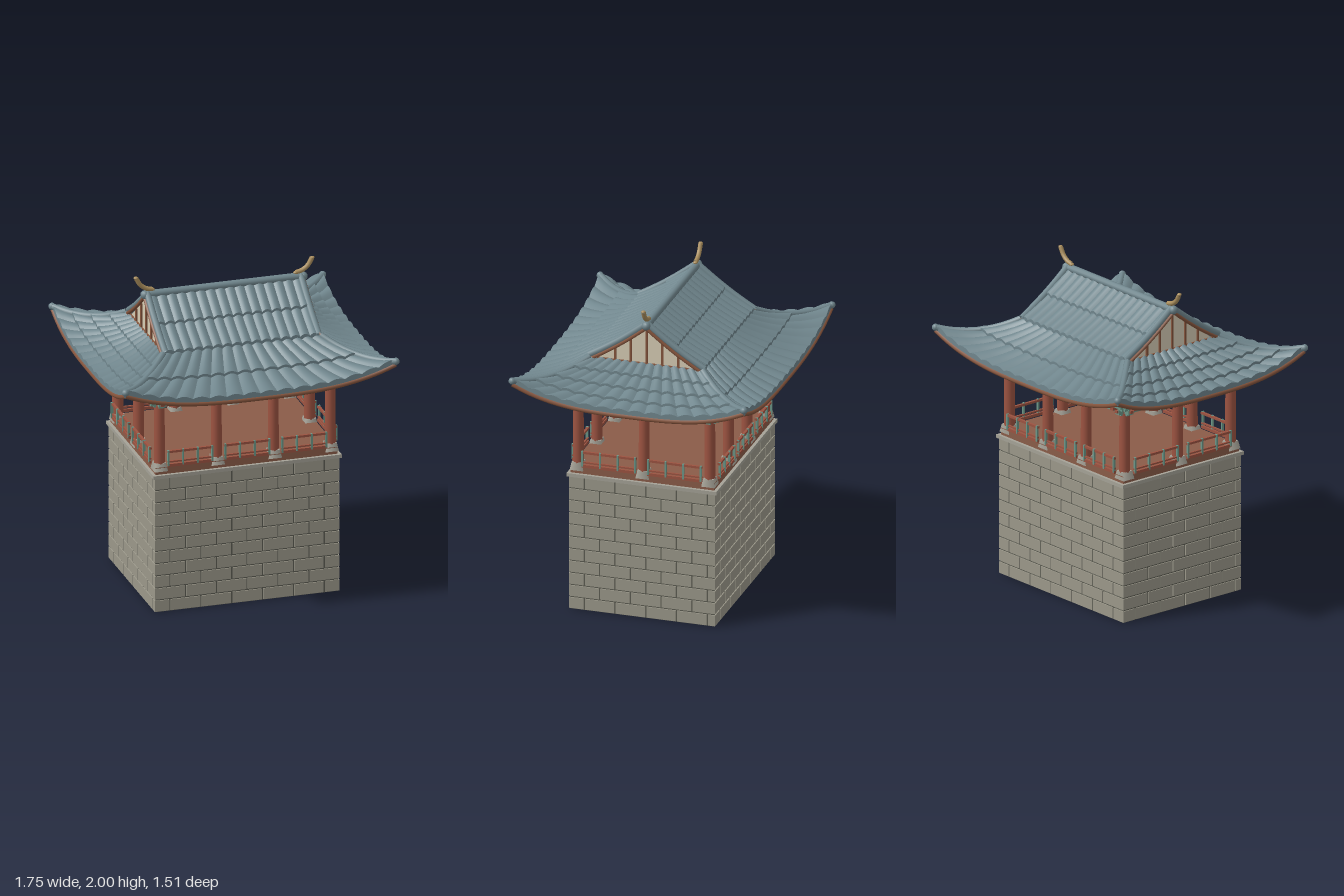
import * as THREE from 'three';
import { mergeGeometries, toCreasedNormals } from 'three/addons/utils/BufferGeometryUtils.js';

const mat = (color, side = THREE.FrontSide) => new THREE.MeshStandardMaterial({ color, side });
const V = (x, y, z) => new THREE.Vector3(x, y, z);
const box = (w, h, d, x, y, z) => new THREE.BoxGeometry(w, h, d).translate(x, y, z);
const tube = (pts, r, sides = 8, n = 16) => new THREE.TubeGeometry(new THREE.CatmullRomCurve3(pts), n, r, sides);
const range = (n, f) => Array.from({ length: n }, (_, i) => f(i));

// Grid surface over i (across) and j (down), facing up when across = +x and down = +z
function grid(nu, nv, point) {
  const pos = [], idx = [];
  for (let j = 0; j <= nv; j++) for (let i = 0; i <= nu; i++) pos.push(...point(i, j).toArray());
  for (let j = 0; j < nv; j++) for (let i = 0; i < nu; i++) {
    const a = j * (nu + 1) + i, b = a + nu + 1;
    idx.push(a, b, a + 1, a + 1, b, b + 1);
  }
  const g = new THREE.BufferGeometry();
  g.setAttribute('position', new THREE.Float32BufferAttribute(pos, 3));
  g.setIndex(idx);
  return g;
}

// Overlapping rows of rounded tiles laid on surface(u, t)
function tiles(surface, cols, rows) {
  const seg = 6, parts = [];
  for (let r = 0; r < rows; r++) parts.push(grid(cols * seg, 4, (i, j) => {
    const s = Math.min(j / 3, 1), f = (i % seg) / seg;
    const p = surface(-1 + 2 * i / (cols * seg), (r + s) / rows);
    p.y += j === 4 ? -0.012 : 0.014 * Math.sin(Math.PI * f) + 0.016 * s;
    return p;
  }));
  return toCreasedNormals(mergeGeometries(parts), 0.6);
}

export function createModel() {
  const model = new THREE.Group();
  const stone = mat(0x9b988a), mortar = mat(0x5c5c52), paleStone = mat(0xa5a297), wood = mat(0x9c5341);
  const trim = mat(0x85543c), deck = mat(0x8a5c48), green = mat(0x6c9788), cream = mat(0xd6ccb4);
  const tile = mat(0x70868d, THREE.DoubleSide), dark = mat(0x4b5a60, THREE.DoubleSide);
  const gold = mat(0xa98d5c), ceilingMat = mat(0x4a3228);
  const add = (name, geos, material) => {
    const list = [geos].flat();
    const mesh = new THREE.Mesh(list.length > 1 ? mergeGeometries(list) : list[0], material);
    mesh.name = name;
    model.add(mesh);
  };

  // Brick plinth: dark core with staggered blocks on four walls
  const H = 0.87, courses = 11, ch = H / courses, bw = 0.195, gap = 0.009;
  add('mortarCore', box(1.155, H, 0.915, 0, H / 2, 0), mortar);
  const bricks = [];
  for (const [half, face, turn] of [[0.584, 0.464, 0], [0.464, 0.584, 1], [0.584, 0.464, 2], [0.464, 0.584, 3]])
    for (let c = 0; c < courses; c++)
      for (let x = -half - (c % 2 ? 0 : bw / 2); x < half; x += bw) {
        const a = Math.max(x + gap / 2, -half), b = Math.min(x + bw - gap / 2, half);
        if (b - a > 0.01)
          bricks.push(box(b - a, ch - gap, 0.02, (a + b) / 2, (c + 0.5) * ch, face - 0.01).rotateY(turn * Math.PI / 2));
      }
  add('bricks', bricks, stone);
  add('capSlab', box(1.19, 0.022, 0.95, 0, 0.879, 0), paleStone);
  add('floor', box(1.15, 0.045, 0.91, 0, 0.912, 0), deck);

  // Columns around the edge
  const cx = [-0.54, -0.18, 0.18, 0.54], cz = [-0.417, 0, 0.417];
  const spots = cx.flatMap(x => cz.filter(z => z !== 0 || Math.abs(x) > 0.5).map(z => [x, z]));
  add('columns', spots.map(([x, z]) => new THREE.CylinderGeometry(0.031, 0.034, 0.45, 20).translate(x, 1.175, z)), wood);
  add('columnBases', spots.map(([x, z]) =>
    new THREE.CylinderGeometry(0.046, 0.06, 0.05, 4).rotateY(Math.PI / 4).translate(x, 0.933, z)), paleStone);

  // Railings, lintels and ornaments, one set for each bay of each side
  const rails = [], posts = [], lintels = [], studs = [];
  const sides = [[cx, 0.417, 0], [cz, 0.54, 1], [cx, 0.417, 2], [cz, 0.54, 3]];
  for (const [stops, face, turn] of sides) {
    const put = (list, ...b) => list.push(box(...b).rotateY(turn * Math.PI / 2));
    const rz = face + 0.045, end = stops.at(-1);
    for (let k = 0; k + 1 < stops.length; k++) {
      const m = (stops[k] + stops[k + 1]) / 2, w = stops[k + 1] - stops[k] - 0.07;
      put(rails, w, 0.014, 0.016, m, 1.035, rz);
      put(rails, w, 0.018, 0.014, m, 0.947, rz);
      put(rails, w, 0.01, 0.012, m, 0.97, rz);
      for (let i = 0; i < 4; i++) put(posts, 0.011, 0.1, 0.014, m + (i / 3 - 0.5) * (w - 0.012), 0.995, rz + 0.004);
      for (const d of [-0.027, 0, 0.027]) put(studs, 0.013, 0.02, 0.01, m + d, 1.347, face + 0.022);
    }
    put(lintels, end * 2 + 0.12, 0.034, 0.04, 0, 1.347, face);
    put(lintels, end * 2 + 0.08, 0.012, 0.055, 0, 1.372, face);
    put(lintels, end * 2 + 0.08, 0.012, 0.03, 0, 1.325, face);
    put(lintels, end * 2 + 0.1, 0.04, 0.04, 0, 1.435, face);
  }
  for (const x of [-0.18, 0.18]) lintels.push(box(0.04, 0.04, 0.83, x, 1.35, 0));
  add('railings', rails, wood);
  add('railingPosts', posts, green);
  add('lintels', lintels, green);
  add('lintelOrnaments', studs, cream);
  add('ceiling', box(1.08, 0.015, 0.83, 0, 1.45, 0), ceilingMat);

  // Stepped brackets: rust arms pointing out, green arms along the wall
  const arms = [], crossArms = [];
  for (const [stops, face, turn] of sides)
    for (const s of stops) for (let k = 0; k < 3; k++) {
      const out = 0.07 + 0.032 * k, y = 1.35 + 0.026 * k, half = 0.045 + 0.022 * k;
      const turned = g => g.rotateY(turn * Math.PI / 2);
      arms.push(turned(box(0.026, 0.018, out + 0.06, s, y, face + (out - 0.06) / 2)));
      crossArms.push(turned(box(half * 2, 0.017, 0.024, s, y + 0.017, face + out - 0.025)));
      crossArms.push(turned(box(half * 2, 0.017, 0.03, s, y + 0.017, face)));
    }
  add('bracketArms', arms, wood);
  add('bracketCrossArms', crossArms, green);

  // Lower roof: four concave skirts whose eaves sweep up to the corners
  const skirt = (w, d, dw, dd, drop = 0) => (u, t) => V(u * (w + dw * t),
    1.625 - 0.25 * t + 0.068 * t * t + 0.115 * t * t * Math.abs(u) ** 3 - drop, d + dd * t);
  const long = [0.5, 0.36, 0.355, 0.375], short = [0.36, 0.5, 0.375, 0.355];
  const skirtTiles = [], soffits = [], fascia = [];
  for (let q = 0; q < 4; q++) {
    const dims = q % 2 ? short : long, turn = g => g.rotateY(q * Math.PI / 2);
    skirtTiles.push(turn(tiles(skirt(...dims), q % 2 ? 14 : 16, q % 2 ? 4 : 2)));
    const under = skirt(...dims, 0.03);
    const soffit = grid(32, 8, (i, j) => under(-1 + i / 16, j / 8));
    soffit.computeVertexNormals();
    soffits.push(turn(soffit));
    fascia.push(turn(tube(range(17, i => under(-1 + i / 8, 1).add(V(0, 0.012, -0.004))), 0.014, 6, 48)));
  }
  add('skirtTiles', skirtTiles, tile);
  add('soffit', soffits, dark);
  add('eaveTrim', fascia, trim);

  // Upper gabled roof
  const slope = (u, s) => V(u * 0.49, 1.875 - 0.25 * s - 0.012 * Math.sin(Math.PI * s), 0.365 * s);
  add('upperTiles', [0, Math.PI].map(a => tiles(slope, 16, 2).rotateY(a)), tile);

  // Ridge, sloping gable ridges and hip ridges
  const ridges = [new THREE.CylinderGeometry(0.024, 0.024, 1.01, 12).rotateZ(Math.PI / 2).translate(0, 1.88, 0)];
  const barge = [], ends = [];
  for (const sx of [-1, 1]) {
    ends.push(new THREE.SphereGeometry(0.028, 12, 8).translate(sx * 0.5, 1.878, 0));
    for (const sz of [-1, 1]) {
      const at = (p, x, dy) => V(sx * x, p.y + dy, sz * p.z);
      ridges.push(tube(range(7, i => at(slope(1, i / 6), 0.485, 0.014)), 0.021));
      barge.push(tube(range(7, i => at(slope(1, i / 6), 0.503, -0.012)), 0.011, 6));
      const hip = skirt(...long);
      ridges.push(tube(range(9, i => { const p = hip(1, i / 8); return at(p, p.x, 0.006); }), 0.021));
      const tip = hip(1, 1);
      ends.push(new THREE.SphereGeometry(0.022, 12, 8).translate(sx * tip.x, tip.y + 0.006, sz * tip.z));
    }
  }
  add('ridges', ridges, tile);
  add('ridgeEnds', ends, tile);
  add('gableTrim', barge, trim);

  // Gable walls with vertical battens
  const triangle = new THREE.Shape([[-0.36, 1.59], [0.36, 1.59], [0, 1.865]].map(p => new THREE.Vector2(...p)));
  const battens = [];
  for (const sx of [-1, 1]) {
    for (let i = -2; i <= 2; i++) {
      const top = 1.855 - 0.72 * Math.abs(i) * 0.1;
      battens.push(box(0.012, top - 1.59, 0.013, sx * 0.49, (top + 1.59) / 2, i * 0.1));
    }
    battens.push(box(0.014, 0.02, 0.68, sx * 0.492, 1.622, 0));
  }
  add('gableWalls', [-1, 1].map(s => new THREE.ExtrudeGeometry(triangle, { depth: 0.012, bevelEnabled: false })
    .translate(0, 0, 0.475).rotateY(s * Math.PI / 2)), cream);
  add('gableBattens', battens, trim);

  // Curved ridge horns
  const horns = [];
  for (const s of [-1, 1]) {
    const path = [V(s * 0.452, 1.908, 0), V(s * 0.495, 1.92, 0), V(s * 0.53, 1.947, 0), V(s * 0.557, 1.993, 0)];
    horns.push(tube(path, 0.0145, 10));
    for (const p of [path[0], path[3]]) horns.push(new THREE.SphereGeometry(0.0145, 10, 8).scale(1, 0.6, 1).translate(p.x, p.y, 0));
  }
  add('ridgeHorns', horns, gold);
  return model;
}
